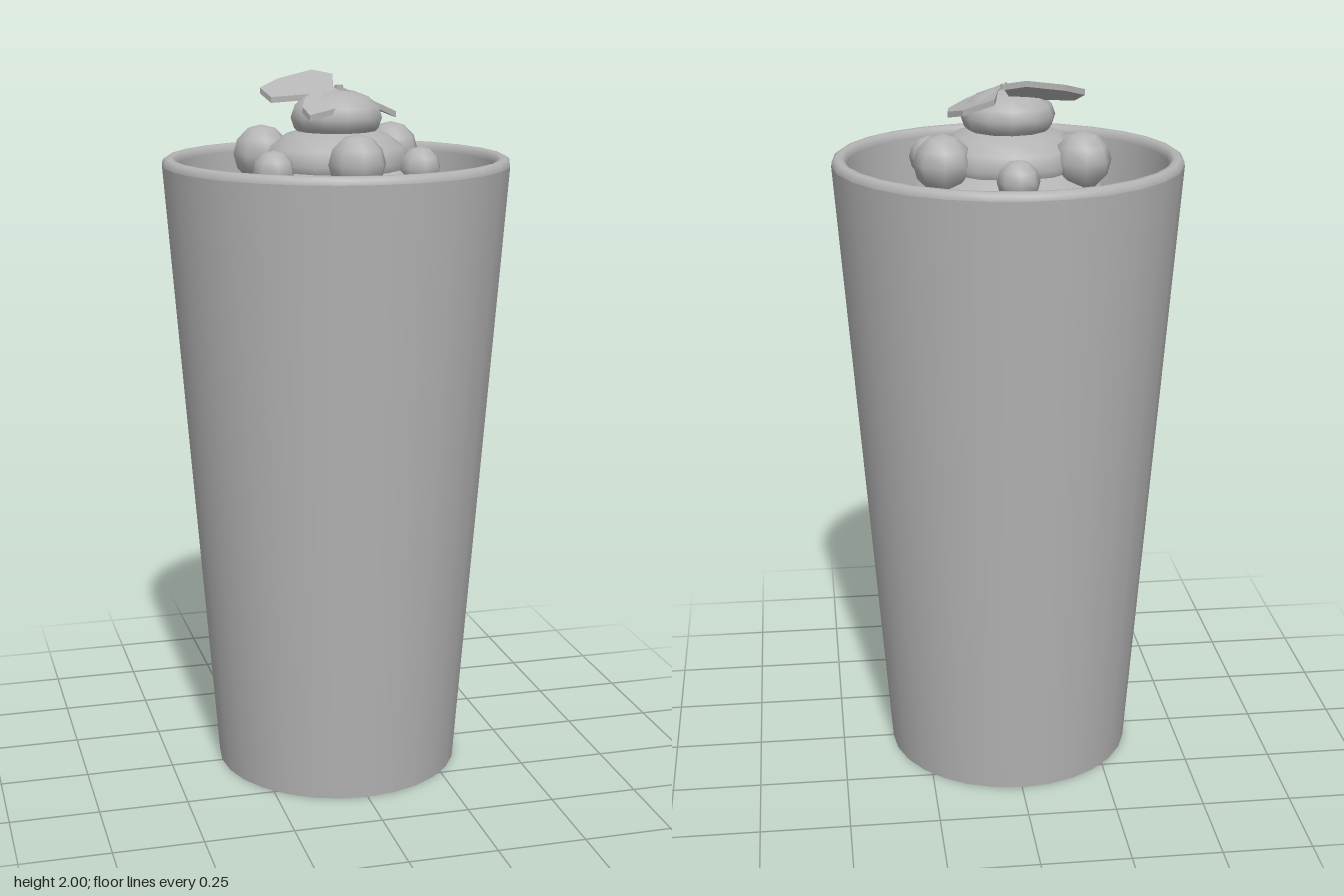
import * as THREE from 'three';

export function createModel() {
  const group = new THREE.Group();
  const grey = new THREE.MeshStandardMaterial({ color: 0xb4b4b4 });

  function add(name, geometry, x = 0, y = 0, z = 0) {
    const mesh = new THREE.Mesh(geometry, grey);
    mesh.name = name;
    mesh.position.set(x, y, z);
    group.add(mesh);
    return mesh;
  }
  const lathe = (points, sides = 28) =>
    new THREE.LatheGeometry(points.map(([r, y]) => new THREE.Vector2(r, y)), sides);

  // Tall tapered cup, separate lathes keep its edges sharp
  add('cupWall', lathe([[0.35, 0], [0.484, 1.755]]));
  add('cupRim', lathe([[0.484, 1.755], [0.482, 1.768], [0.472, 1.776], [0.457, 1.776], [0.447, 1.768], [0.445, 1.755]]));
  add('cupInside', lathe([[0.445, 1.755], [0.428, 1.54]]));
  add('footRim', lathe([[0.343, 0], [0.35, 0]]));
  add('footInside', lathe([[0.352, 0.12], [0.343, 0]]));
  add('cupUnderside', lathe([[0, 0.12], [0.352, 0.12]]));

  // Gently domed drink surface
  add('drinkSurface', lathe([[0.43, 1.55], [0.3, 1.575], [0.15, 1.59], [0, 1.595]]));

  // Cream in three shrinking tiers: radius, half height, centre height
  [[0.28, 0.12, 1.66], [0.205, 0.1, 1.765], [0.13, 0.075, 1.885]].forEach(([r, h, y], i) => {
    add('creamTier' + (i + 1), new THREE.SphereGeometry(r, 12, 8).scale(1, h / r, 1), 0, y, 0);
  });

  // Ring of alternating large and small berries
  for (let i = 0; i < 6; i++) {
    const large = i % 2 === 0;
    const a = i * Math.PI / 3;
    const d = large ? 0.218 : 0.238;
    add(large ? 'largeBerry' : 'smallBerry',
      new THREE.SphereGeometry(large ? 0.08 : 0.058, 8, 6),
      d * Math.sin(a), large ? 1.778 : 1.752, d * Math.cos(a));
  }

  // Leaf plate from an x/z outline, tilted by a height rule
  function leaf(name, outline, height) {
    const shape = new THREE.Shape(outline.map(([x, z]) => new THREE.Vector2(x, -z)));
    const geometry = new THREE.ExtrudeGeometry(shape, { depth: 0.016, bevelEnabled: false });
    geometry.rotateX(-Math.PI / 2);
    const p = geometry.attributes.position;
    for (let i = 0; i < p.count; i++) p.setY(i, p.getY(i) + height(p.getX(i), p.getZ(i)));
    geometry.computeVertexNormals();
    add(name, geometry);
  }
  leaf('backLeaf',
    [[-0.2, -0.07], [-0.14, -0.115], [-0.03, -0.16], [0.025, -0.135], [0, -0.05], [-0.03, -0.035], [-0.18, -0.02]],
    (x, z) => 1.915 - 0.45 * z);
  leaf('sideLeaf',
    [[0, 0.02], [0.03, -0.03], [0.05, -0.12], [0.13, -0.07], [0.165, 0], [0.16, 0.04], [0.11, 0.06]],
    (x) => 1.955 - 0.45 * x);
  leaf('frontLeaf',
    [[-0.05, 0], [-0.01, -0.015], [0, 0.03], [-0.03, 0.11], [-0.11, 0.14], [-0.12, 0.1], [-0.1, 0.05]],
    (x, z) => 1.95 - 0.45 * z);

  // Short stem under the leaves
  add('leafStem', new THREE.CylinderGeometry(0.012, 0.016, 0.05, 6), 0.01, 1.945, -0.01);

  return group;
}
